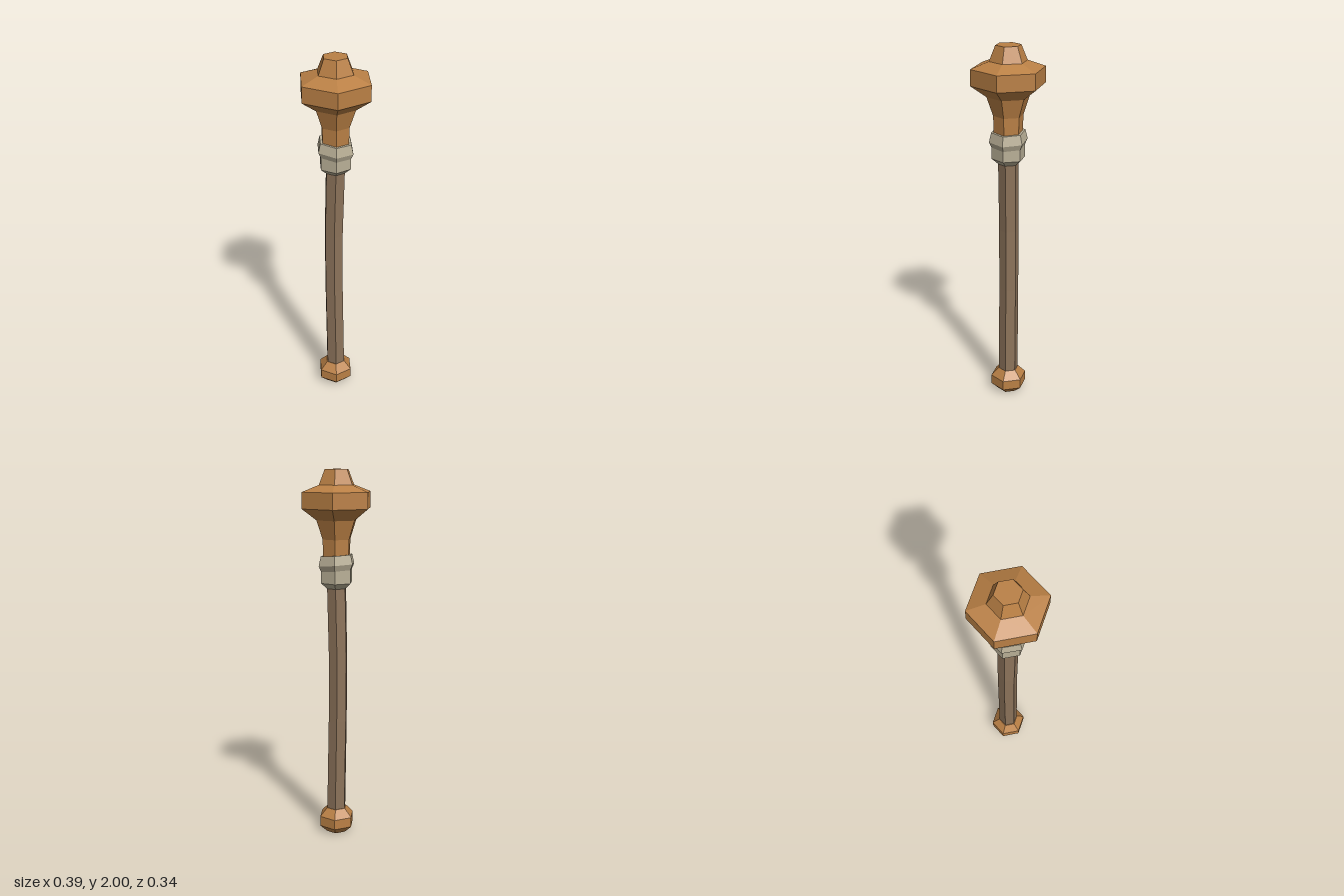
import * as THREE from 'three';

const material = (name, color) =>
  Object.assign(new THREE.MeshStandardMaterial({ color, flatShading: true }), { name });

// Closed six-sided turned part, from rings of [height, radius, x shift, tilt], bottom to top.
function turnedPart(name, mat, rings) {
  const all = [[rings[0][0], 0, ...rings[0].slice(2)], ...rings, [rings.at(-1)[0], 0, ...rings.at(-1).slice(2)]];
  const profile = all.map(([y, r]) => new THREE.Vector2(r, y));
  const geometry = new THREE.LatheGeometry(profile, 6, Math.PI / 2);
  const pos = geometry.attributes.position;
  for (let i = 0; i < pos.count; i++) {
    const [, , shift = 0, tilt = 0] = all[i % all.length];
    const x = pos.getX(i);
    pos.setX(i, x + shift);
    pos.setY(i, pos.getY(i) + x * tilt);
  }
  geometry.computeVertexNormals();
  const mesh = new THREE.Mesh(geometry, mat);
  mesh.name = name;
  return mesh;
}

export function createModel() {
  const bronze = material('bronze', 0xba8045);
  const wood = material('wood', 0x8c735a);
  const stone = material('pale metal', 0xb9af96);

  const group = new THREE.Group();
  group.name = 'mace';
  group.add(
    // Rounded end knob
    turnedPart('pommel', bronze, [[0, 0.057], [0.04, 0.1], [0.095, 0.1], [0.14, 0.057]]),
    // Slightly bowed handle
    turnedPart('shaft', wood, [[0.13, 0.055, 0.002], [0.65, 0.054, -0.008], [1.0, 0.054, -0.01], [1.39, 0.055]]),
    // Collar with a slanted upper lip
    turnedPart('collar', stone, [
      [1.38, 0.055], [1.41, 0.089], [1.475, 0.089, 0, -0.08],
      [1.505, 0.103, 0, -0.08], [1.555, 0.091, 0, -0.08],
    ]),
    // Flared head with a stepped cap
    turnedPart('head', bronze, [
      [1.54, 0.077], [1.64, 0.08], [1.74, 0.114], [1.8, 0.196],
      [1.885, 0.196], [1.92, 0.1], [2, 0.067],
    ]),
  );
  return group;
}
